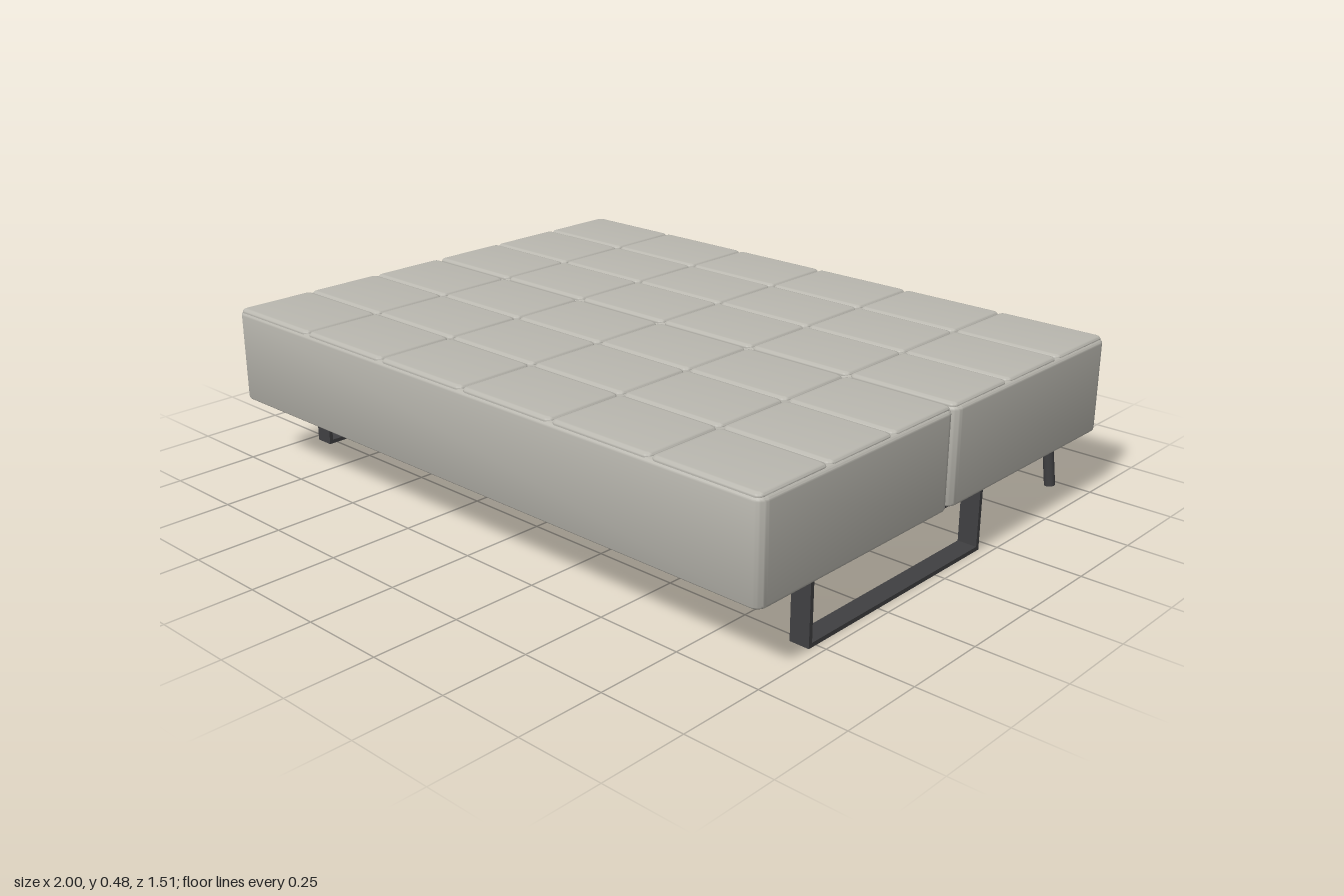
import * as THREE from 'three';
import { toCreasedNormals } from 'three/addons/utils/BufferGeometryUtils.js';

const fabric = new THREE.MeshStandardMaterial({ color: 0xbab8b0 });
fabric.name = 'warm grey fabric';
const metal = new THREE.MeshStandardMaterial({ color: 0x404042 });
metal.name = 'dark metal';

// Rounded rectangle lying flat, extruded upward from y0 to y1 with soft edges
function pad(w, d, y0, y1, corner, bevelXY, bevelY) {
  const a = w / 2 - bevelXY, b = d / 2 - bevelXY, r = corner;
  const s = new THREE.Shape();
  s.moveTo(-a + r, -b);
  s.lineTo(a - r, -b);
  s.absarc(a - r, -b + r, r, -Math.PI / 2, 0);
  s.lineTo(a, b - r);
  s.absarc(a - r, b - r, r, 0, Math.PI / 2);
  s.lineTo(-a + r, b);
  s.absarc(-a + r, b - r, r, Math.PI / 2, Math.PI);
  s.lineTo(-a, -b + r);
  s.absarc(-a + r, -b + r, r, Math.PI, Math.PI * 1.5);
  const g = new THREE.ExtrudeGeometry(s, {
    depth: y1 - y0 - 2 * bevelY, bevelEnabled: true, bevelSize: bevelXY,
    bevelThickness: bevelY, bevelSegments: 4, curveSegments: 5,
  });
  g.rotateX(-Math.PI / 2);
  g.translate(0, y0 + bevelY, 0);
  return toCreasedNormals(g, 0.7);
}

function add(parent, name, geometry, material, x = 0, y = 0, z = 0) {
  const m = new THREE.Mesh(geometry, material);
  m.name = name;
  m.position.set(x, y, z);
  parent.add(m);
  return m;
}

// Round leg between two points
function leg(parent, name, top, bottom) {
  const a = new THREE.Vector3(...top), b = new THREE.Vector3(...bottom);
  const dir = a.clone().sub(b);
  const m = add(parent, name, new THREE.CylinderGeometry(0.016, 0.016, dir.length(), 20), metal);
  m.position.copy(a).add(b).multiplyScalar(0.5);
  m.quaternion.setFromUnitVectors(new THREE.Vector3(0, 1, 0), dir.normalize());
}

export function createModel() {
  const model = new THREE.Group();
  model.name = 'daybed';

  // Two cushions, each with a 6 x 3 grid of tufted panels
  const body = pad(2, 0.753, 0.193, 0.468, 0.018, 0.012, 0.012);
  const tile = pad(0.329, 0.247, 0.452, 0.476, 0.006, 0.014, 0.009);
  for (const side of [1, -1]) {
    const cushion = new THREE.Group();
    cushion.name = side > 0 ? 'frontCushion' : 'backCushion';
    cushion.position.z = side * 0.378;
    model.add(cushion);
    add(cushion, 'cushionBody', body, fabric);
    for (let i = 0; i < 6; i++) {
      for (let j = -1; j <= 1; j++) {
        add(cushion, 'tuftedPanel', tile, fabric, (i - 2.5) * 0.331, 0, j * 0.249);
      }
    }
  }

  // Sled frame: flat-bar loops at both ends
  const frame = new THREE.Group();
  frame.name = 'sledFrame';
  model.add(frame);
  const z0 = -0.205, z1 = 0.528, top = 0.192, t = 0.012;
  const rect = (P, u0, u1, v0, v1) => {
    const p = new P();
    p.moveTo(u0, v0);
    p.lineTo(u1, v0);
    p.lineTo(u1, v1);
    p.lineTo(u0, v1);
    p.closePath();
    return p;
  };
  const outline = rect(THREE.Shape, -z1, -z0, 0, top);
  outline.holes.push(rect(THREE.Path, -z1 + t, -z0 - t, t, top - t));
  const loop = new THREE.ExtrudeGeometry(outline, { depth: 0.058, bevelEnabled: false });
  loop.translate(0, 0, -0.029);
  loop.rotateY(Math.PI / 2);
  for (const s of [1, -1]) add(frame, 'sledLeg', loop, metal, s * 0.941);

  // Angle-section rails joining the loops
  const web = new THREE.BoxGeometry(1.83, 0.04, t);
  const flange = new THREE.BoxGeometry(1.83, 0.01, 0.04);
  for (const [z, inward] of [[z1 - t / 2, -1], [z0 + t / 2, 1]]) {
    add(frame, 'railWeb', web, metal, 0, 0.173, z);
    add(frame, 'railFlange', flange, metal, 0, 0.187, z + inward * 0.02);
  }

  // Splayed back legs
  leg(model, 'backLegLeft', [0.87, 0.2, -0.7], [0.888, 0.002, -0.716]);
  leg(model, 'backLegRight', [-0.95, 0.2, -0.7], [-0.966, 0.002, -0.716]);

  return model;
}
